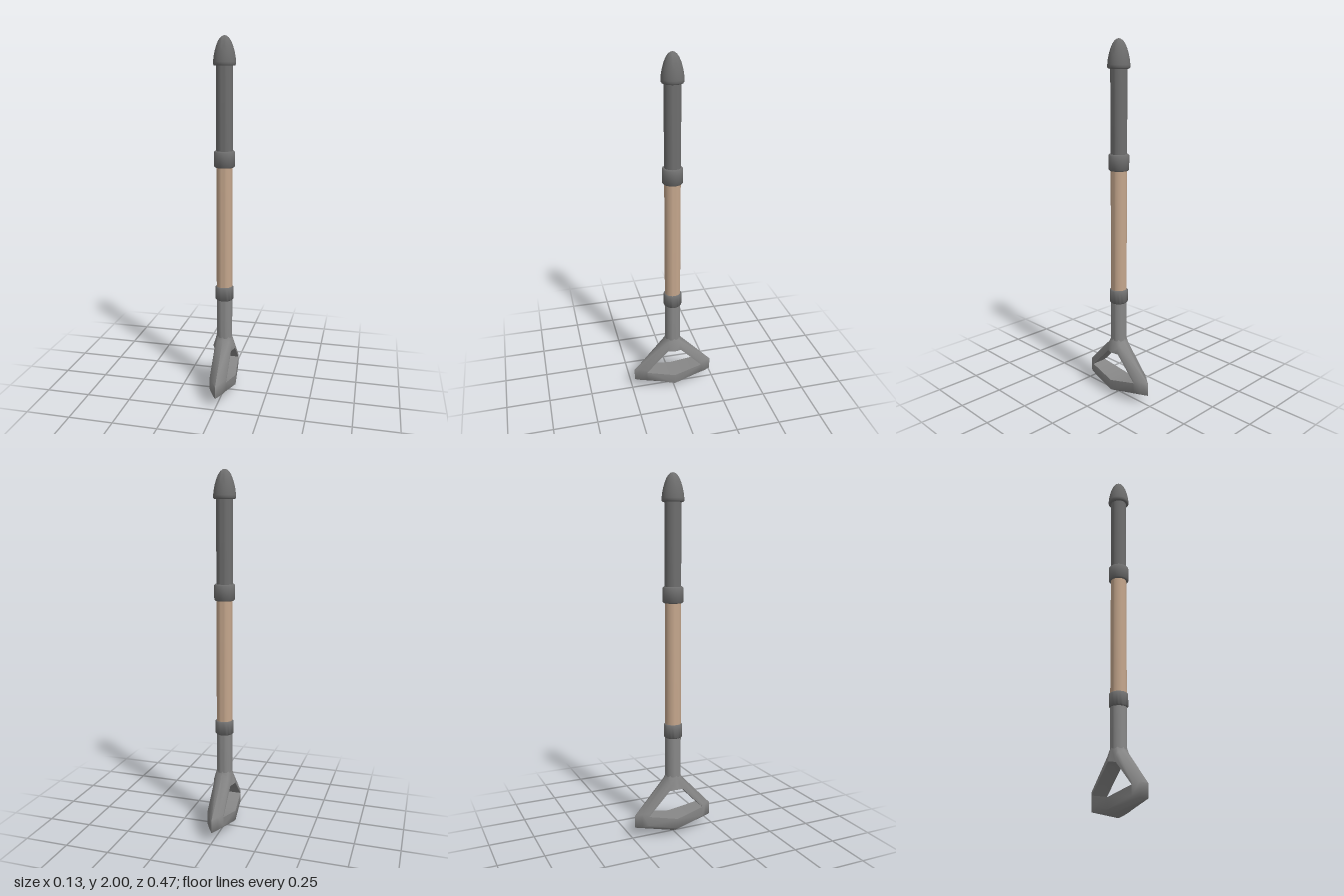
import * as THREE from 'three';
import { mergeVertices, toCreasedNormals } from 'three/addons/utils/BufferGeometryUtils.js';

const material = (color) => new THREE.MeshStandardMaterial({ color });
const darkGrey = material(0x6e6e6e);
const midGrey = material(0x888888);
const wood = material(0xc4a68c);

// Turned part from [radius, height] pairs, bottom to top
function turned(name, profile, mat) {
  const points = profile.map(([r, y]) => new THREE.Vector2(r, y));
  const geometry = toCreasedNormals(new THREE.LatheGeometry(points, 32), 1);
  const mesh = new THREE.Mesh(geometry, mat);
  mesh.name = name;
  return mesh;
}

// Collar with bevelled rims
function collar(name, y0, y1, r, mat) {
  const b = 0.006;
  return turned(name, [[0.03, y0], [r - b, y0], [r, y0 + b], [r, y1 - b], [r - b, y1], [0.03, y1]], mat);
}

// Closed grip: sections run from the bottom middle, round the corner and up into the stem
function gripLoop() {
  // Each section: ridge, two flank points, inner edge, as [x, y, z]; mirrored in x
  const sections = [
    [[0, 0, 0], [0.036, 0.018, 0], [0.066, 0.036, 0], [0.066, 0.095, 0]],
    [[0, 0.06, 0.235], [0.025, 0.066, 0.2], [0.047, 0.078, 0.167], [0.047, 0.13, 0.167]],
    [[0, 0.13, 0.235], [0.025, 0.142, 0.2], [0.047, 0.148, 0.167], [0.047, 0.13, 0.167]],
    [[0, 0.328, 0.047], [0.034, 0.315, 0.043], [0.046, 0.3, 0.036], [0.047, 0.262, 0.04]],
    [[0, 0.345, 0.044], [0.031, 0.345, 0.031], [0.044, 0.345, 0], [0.066, 0.27, 0]],
  ];
  const positions = [];
  const index = [];
  for (const side of [1, -1]) {
    const base = positions.length / 3;
    for (const half of sections) {
      const mirrored = half.slice(1).reverse().map(([x, y, z]) => [-x, y, z]);
      for (const [x, y, z] of [...half, ...mirrored]) positions.push(x, y, z * side);
    }
    const count = 7;
    for (let s = 0; s < sections.length - 1; s++) {
      for (let k = 0; k < count; k++) {
        const n = (k + 1) % count;
        const a = base + s * count + k, b = base + s * count + n;
        const c = b + count, d = a + count;
        if (side > 0) index.push(a, c, d, a, b, c);
        else index.push(a, d, c, a, c, b);
      }
    }
  }
  const geometry = new THREE.BufferGeometry();
  geometry.setAttribute('position', new THREE.Float32BufferAttribute(positions, 3));
  geometry.setIndex(index);
  const mesh = new THREE.Mesh(toCreasedNormals(mergeVertices(geometry), 1.05), midGrey);
  mesh.name = 'gripLoop';
  return mesh;
}

export function createModel() {
  const group = new THREE.Group();
  group.name = 'handledPole';

  // Grip at the foot
  group.add(gripLoop());
  group.add(turned('lowerStem', [[0.044, 0.335], [0.044, 0.58]], midGrey));
  group.add(collar('lowerCollar', 0.562, 0.641, 0.051, darkGrey));

  // Shaft
  group.add(turned('woodenShaft', [[0.044, 0.63], [0.044, 1.33]], wood));
  group.add(collar('upperCollar', 1.316, 1.405, 0.056, darkGrey));
  group.add(turned('upperSleeve', [[0.0445, 1.39], [0.0445, 1.865]], darkGrey));

  // Domed cap
  group.add(turned('domedCap', [
    [0.03, 1.848], [0.055, 1.848], [0.06, 1.855], [0.06, 1.868], [0.057, 1.895], [0.052, 1.92],
    [0.044, 1.948], [0.034, 1.972], [0.023, 1.988], [0.011, 1.997], [0, 2.0],
  ], darkGrey));

  return group;
}
